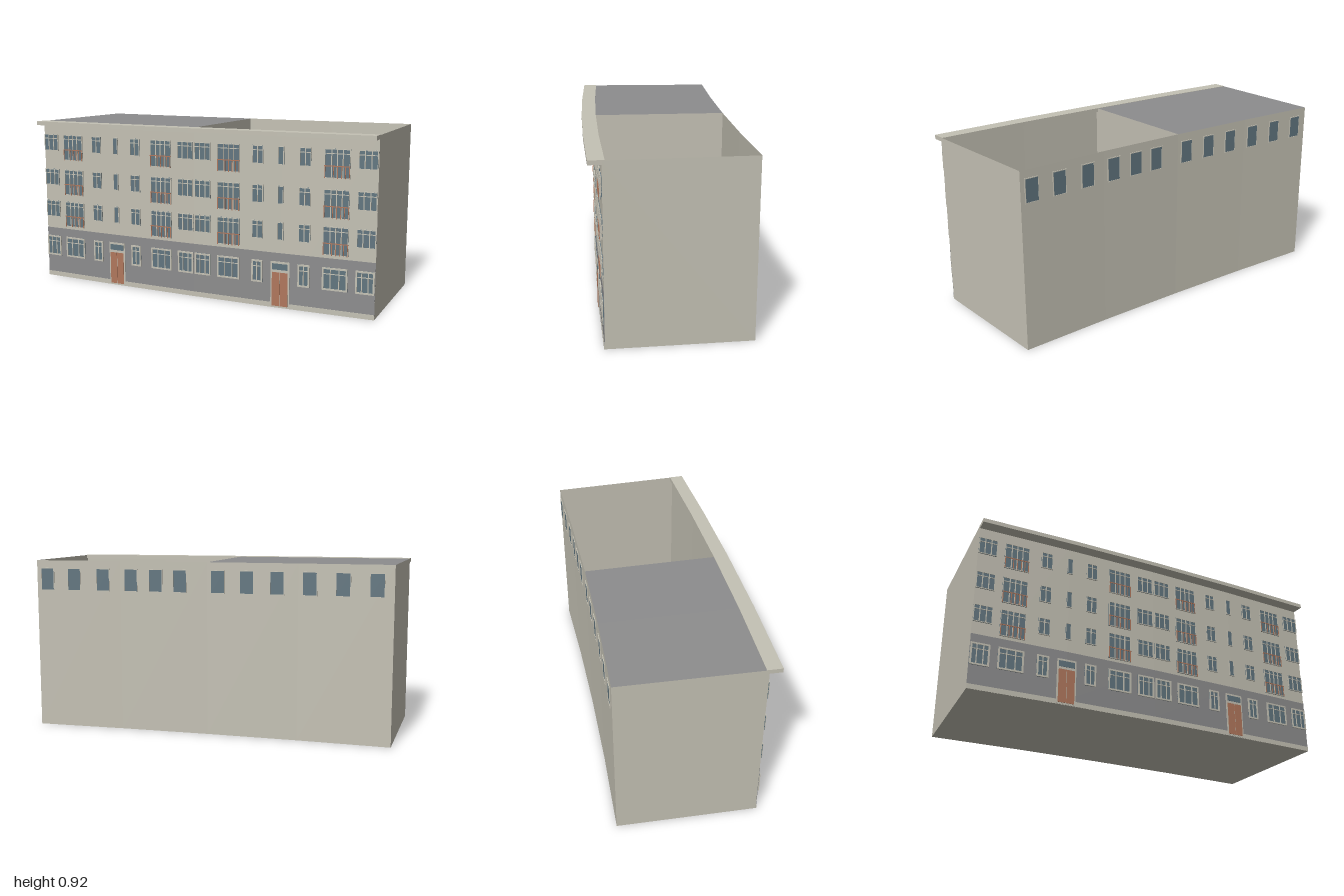
import * as THREE from 'three';
import { mergeGeometries } from 'three/addons/utils/BufferGeometryUtils.js';

const RADIUS = 24, FRONT = 0.34, DEPTH = 0.725, TOP = 0.92;
const KNOTS = [-1, -0.5, 0, 0.5, 1];

// point on the gently bent plan: x along the street, d outward from the facade
function knot(x, y, d) {
  const a = x / RADIUS, r = RADIUS + d;
  return new THREE.Vector3(Math.sin(a) * r, y, FRONT - RADIUS + Math.cos(a) * r);
}
function place(x, y, d) {
  const i = Math.min(3, Math.max(0, Math.floor((x + 1) / 0.5)));
  return knot(KNOTS[i], y, d).lerp(knot(KNOTS[i + 1], y, d), (x - KNOTS[i]) / 0.5);
}

function quads(list) {
  const pos = [];
  for (const [a, b, c, e] of list) for (const p of [a, b, c, a, c, e]) pos.push(p.x, p.y, p.z);
  const g = new THREE.BufferGeometry();
  g.setAttribute('position', new THREE.Float32BufferAttribute(pos, 3));
  g.computeVertexNormals();
  return g;
}
const stations = (x0, x1) => [x0, ...KNOTS.filter(k => k > x0 + 1e-4 && k < x1 - 1e-4), x1];

// solid bar following the plan
function block(x0, x1, y0, y1, d0, d1) {
  const rings = stations(x0, x1).map(x =>
    [[y0, d0], [y0, d1], [y1, d1], [y1, d0]].map(([y, d]) => place(x, y, d)));
  const list = [];
  for (let s = 0; s + 1 < rings.length; s++) {
    const L = rings[s], R = rings[s + 1];
    for (let i = 0; i < 4; i++) {
      const j = (i + 1) % 4;
      list.push([L[i], R[i], R[j], L[j]]);
    }
  }
  list.push(rings[0], [...rings[rings.length - 1]].reverse());
  return quads(list);
}

// open strip between two lines (y, d) along the plan
function sheet(x0, x1, [ya, da], [yb, db]) {
  const xs = stations(x0, x1), list = [];
  for (let s = 0; s + 1 < xs.length; s++)
    list.push([place(xs[s], ya, da), place(xs[s + 1], ya, da), place(xs[s + 1], yb, db), place(xs[s], yb, db)]);
  return quads(list);
}
const crossWall = x => quads([[place(x, 0, -DEPTH), place(x, 0, 0), place(x, TOP, 0), place(x, TOP, -DEPTH)]]);

export function createModel() {
  const material = (name, color) => {
    const m = new THREE.MeshStandardMaterial({ color, side: THREE.DoubleSide });
    m.name = name;
    return m;
  };
  const plaster = material('plaster', 0xc4c1b4);
  const grey = material('grey', 0x8d8d8e);
  const glass = material('glass', 0x61757f);
  const wood = material('wood', 0xb0775c);

  const parts = new Map();
  const add = (name, mat, ...geos) => {
    if (!parts.has(name)) parts.set(name, { mat, geos: [] });
    parts.get(name).geos.push(...geos);
  };

  // glazed opening: border of width w, mullions at fractions, optional transom
  function glazing(x0, x1, y0, y1, d, w, mullions, transom, names = ['windowGlass', 'windowFrames']) {
    const bar = (a, b, c, e) => add(names[1], plaster, block(a, b, c, e, d, d + 0.006));
    add(names[0], glass, block(x0, x1, y0, y1, d, d + 0.003));
    bar(x0, x0 + w, y0, y1);
    bar(x1 - w, x1, y0, y1);
    bar(x0 + w, x1 - w, y0, y0 + w);
    bar(x0 + w, x1 - w, y1 - w, y1);
    for (const f of mullions) {
      const x = x0 + (x1 - x0) * f;
      bar(x - 0.0025, x + 0.0025, y0 + w, y1 - w);
    }
    if (transom) {
      const y = y1 - transom;
      bar(x0 + w, x1 - w, y - 0.002, y + 0.002);
    }
  }

  // shell: outer walls, floor, middle wall; one half is roofed
  add('frontWall', plaster, sheet(-1, 1, [0, 0], [TOP, 0]));
  add('backWall', plaster, sheet(-1, 1, [TOP, -DEPTH], [0, -DEPTH]));
  add('floor', plaster, sheet(-1, 1, [0, -DEPTH], [0, 0]));
  add('crossWalls', plaster, crossWall(-1), crossWall(0), crossWall(1));
  add('roof', grey, sheet(-1, 0, [TOP, -0.013], [TOP, -DEPTH]));
  add('cornice', plaster, block(-1, 1, 0.9, TOP + 0.002, -0.014, 0.064));
  add('groundFloorBand', grey, block(-1, 1, 0.026, 0.292, 0.0005, 0.002));
  add('plinth', plaster, block(-1, 1, 0, 0.026, 0.0005, 0.004));

  // bays of one half: [inner x, outer x, kind]
  const bays = [
    [0.005, 0.1, 'wide'], [0.14, 0.27, 'balcony'], [0.34, 0.402, 'small'],
    [0.482, 0.515, 'stair'], [0.597, 0.66, 'small'], [0.727, 0.86, 'balcony'], [0.9, 0.998, 'wide'],
  ];
  const mullions = { wide: [0.33, 0.67], balcony: [0.28, 0.5, 0.72], small: [0.5], stair: [] };

  for (const side of [-1, 1]) {
    for (const [inner, outer, kind] of bays) {
      const x0 = side < 0 ? -outer : inner, x1 = side < 0 ? -inner : outer;

      // upper floors
      for (const top of [0.455, 0.643, 0.845]) {
        const tall = kind === 'balcony';
        const bottom = top - (tall ? 0.147 : 0.095);
        glazing(x0, x1, bottom, top, 0.001, 0.004, mullions[kind], kind === 'stair' ? 0 : 0.024);
        if (!tall) continue;
        // balcony railing
        const rail = bottom + 0.062;
        add('balconyRailings', wood, block(x0, x1, rail - 0.003, rail + 0.002, 0.0075, 0.0095));
        for (const f of [0.03, 0.36, 0.52, 0.68, 0.82, 0.97]) {
          const x = x0 + (x1 - x0) * f;
          add('balconyRailings', wood, block(x - 0.002, x + 0.002, bottom, rail, 0.0075, 0.0092));
        }
      }

      // ground floor windows
      if (kind !== 'stair')
        glazing(x0, x1, 0.127, 0.245, 0.0025, 0.009, kind === 'small' ? [0.5] : [0.33, 0.67], 0.033);
    }

    // entrance: surround, two door leaves and a light above
    const c = side * 0.5;
    add('doorSurrounds', plaster, block(c - 0.052, c + 0.052, 0.004, 0.247, 0.0025, 0.005));
    for (const s of [-1, 1]) {
      const m = c + s * 0.0225;
      add('doorLeaves', wood, block(m - 0.021, m + 0.021, 0.01, 0.19, 0.0055, 0.008));
    }
    add('doorLights', glass, block(c - 0.043, c + 0.043, 0.204, 0.236, 0.0055, 0.007));
  }

  // top row of windows on the back
  for (const x of [0.908, 0.752, 0.585, 0.425, 0.285, 0.15, -0.058, -0.215, -0.375, -0.545, -0.715, -0.885]) {
    const u = x / 0.97, d = -DEPTH;
    add('backWindowGlass', glass, block(u - 0.036, u + 0.036, 0.76, 0.875, d - 0.003, d - 0.001));
    for (const s of [-1, 1])
      add('backWindowFrames', plaster, block(u + s * 0.038 - 0.002, u + s * 0.038 + 0.002, 0.756, 0.879, d - 0.005, d - 0.001));
    for (const y of [0.756, 0.875])
      add('backWindowFrames', plaster, block(u - 0.036, u + 0.036, y, y + 0.004, d - 0.005, d - 0.001));
  }

  const group = new THREE.Group();
  group.name = 'apartmentBuilding';
  for (const [name, { mat, geos }] of parts) {
    const mesh = new THREE.Mesh(mergeGeometries(geos), mat);
    mesh.name = name;
    group.add(mesh);
  }
  return group;
}
